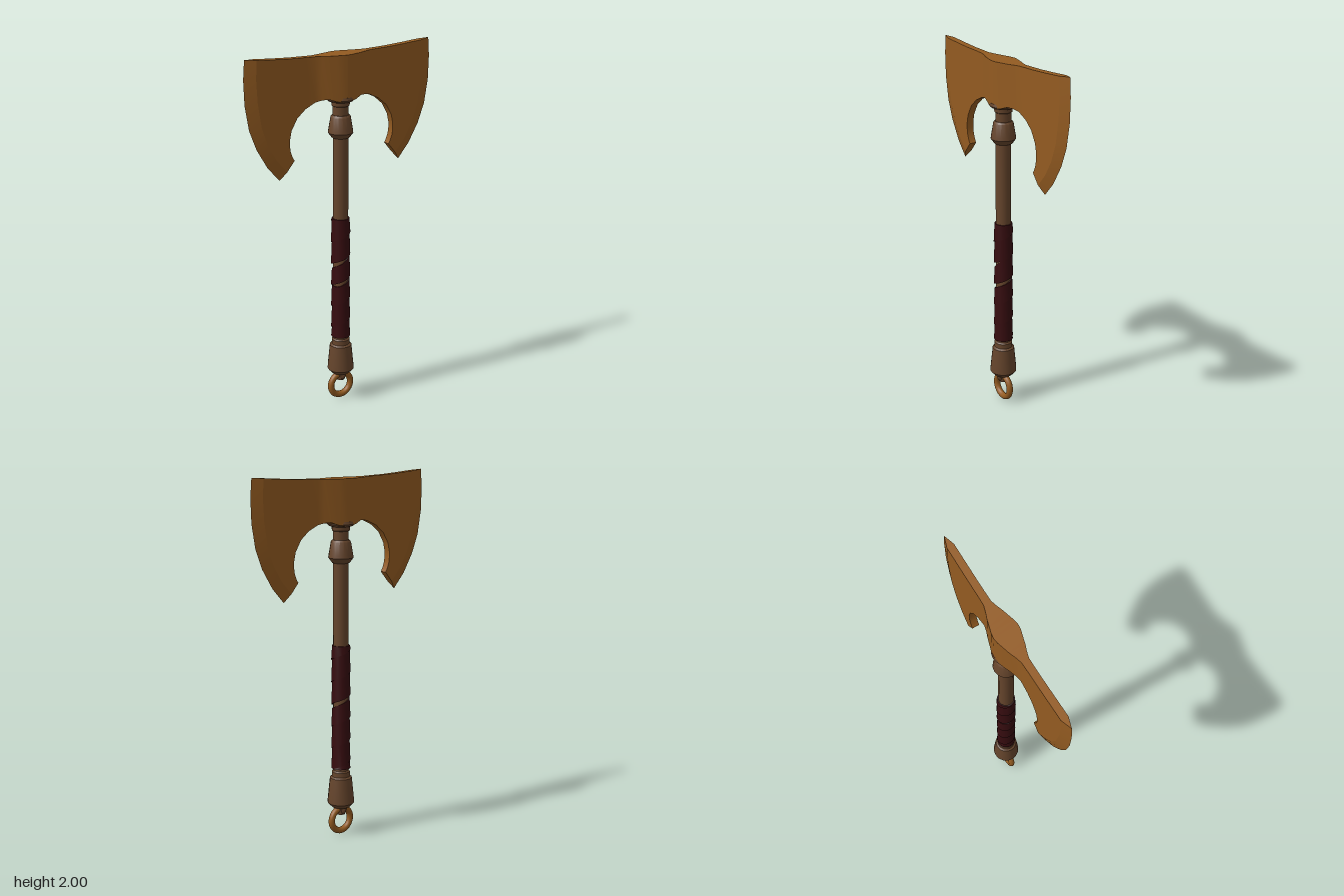
import * as THREE from 'three';
import { toCreasedNormals } from 'three/addons/utils/BufferGeometryUtils.js';

// Skin a list of equal-sized rings of [x, y, z] points and cap both ends.
// Each ring runs counter-clockwise when looked at from the far end.
function loft(rings, crease = 0.5) {
  const n = rings[0].length, index = [];
  for (let i = 0; i < rings.length - 1; i++) {
    for (let j = 0; j < n; j++) {
      const a = i * n + j, b = i * n + (j + 1) % n;
      index.push(a, b, b + n, a, b + n, a + n);
    }
  }
  const end = (rings.length - 1) * n;
  for (let j = 1; j < n - 1; j++) {
    index.push(0, j + 1, j, end, end + j, end + j + 1);
  }
  const g = new THREE.BufferGeometry();
  g.setAttribute('position', new THREE.Float32BufferAttribute(rings.flat(2), 3));
  g.setIndex(index);
  return toCreasedNormals(g, crease);
}

function lathe(points, segments = 16) {
  const profile = points.map(([r, y]) => new THREE.Vector2(r, y));
  return toCreasedNormals(new THREE.LatheGeometry(profile, segments), 0.5);
}

export function createModel() {
  const bronze = new THREE.MeshStandardMaterial({ color: 0x935b21 });
  bronze.name = 'bronze';
  const wood = new THREE.MeshStandardMaterial({ color: 0x66452c });
  wood.name = 'brownWood';
  const leather = new THREE.MeshStandardMaterial({ color: 0x360c0f });
  leather.name = 'darkRedLeather';

  const model = new THREE.Group();
  model.name = 'doubleAxe';
  const add = (parent, name, geometry, material) => {
    const mesh = new THREE.Mesh(geometry, material);
    mesh.name = name;
    parent.add(mesh);
    return mesh;
  };

  // Blade body stations: upper x, y, lower x, y, half thickness
  const body = [
    [0, 1.975, 0, 1.73, 0.068], [0.03, 1.975, 0.03, 1.73, 0.064],
    [0.06, 1.975, 0.06, 1.735, 0.055], [0.1, 1.975, 0.1, 1.75, 0.044],
    [0.135, 1.976, 0.135, 1.748, 0.031], [0.17, 1.977, 0.17, 1.74, 0.021],
    [0.23, 1.979, 0.23, 1.712, 0.02], [0.3, 1.981, 0.28, 1.67, 0.02],
    [0.4, 1.987, 0.315, 1.61, 0.02], [0.51, 1.995, 0.326, 1.56, 0.02],
    [0.516, 1.9, 0.326, 1.53, 0.02], [0.51, 1.78, 0.322, 1.5, 0.02],
    [0.49, 1.65, 0.316, 1.483, 0.02], [0.455, 1.55, 0.31, 1.468, 0.02],
    [0.405, 1.465, 0.304, 1.457, 0.02], [0.345, 1.395, 0.299, 1.45, 0.02],
  ];
  // Sharpened edge, matching the outer stations of the body
  const edge = [
    [0.57, 2], [0.578, 1.9], [0.574, 1.77], [0.552, 1.64],
    [0.512, 1.535], [0.45, 1.43], [0.38, 1.35],
  ];
  const bodyGeometry = loft(body.map(([ux, uy, lx, ly, z]) =>
    [[ux, uy, z], [lx, ly, z], [lx, ly, -z], [ux, uy, -z]]));
  const outer = body.slice(-edge.length);
  const edgeGeometry = loft(edge.map(([x, y], i) => {
    const [bx, by, , , z] = outer[i];
    return [[bx, by, z], [bx, by, -z], [x, y, 0]];
  }));
  for (const side of ['left', 'right']) {
    const blade = new THREE.Group();
    blade.name = side + 'Blade';
    add(blade, side + 'BladeBody', bodyGeometry, bronze);
    add(blade, side + 'BladeEdge', edgeGeometry, bronze);
    if (side === 'right') blade.rotation.y = Math.PI;
    model.add(blade);
  }

  // Handle pieces
  add(model, 'shaft', lathe([[0, 0.34], [0.042, 0.34], [0.042, 1.74], [0, 1.74]]), wood);
  add(model, 'headCollar', lathe([
    [0.04, 1.695], [0.048, 1.7], [0.05, 1.72], [0.066, 1.725], [0.074, 1.735],
    [0.07, 1.75], [0, 1.75],
  ]), wood);
  add(model, 'neckFlare', lathe([
    [0.04, 1.525], [0.048, 1.528], [0.068, 1.555], [0.066, 1.57], [0.054, 1.64],
    [0.046, 1.65], [0.04, 1.65],
  ]), wood);
  add(model, 'pommel', lathe([
    [0, 0.16], [0.05, 0.16], [0.074, 0.185], [0.074, 0.2], [0.061, 0.33],
    [0.05, 0.338], [0.05, 0.365], [0.042, 0.372], [0, 0.372],
  ]), wood);

  // Leather strip wound up the grip, with a gap opening in the middle turns
  const rings = [], perTurn = 24, pitch = 0.125;
  const clampY = (y) => THREE.MathUtils.clamp(y, 0.385, 1.078);
  for (let i = -0.75 * perTurn; i <= 5.75 * perTurn; i++) {
    const t = i / perTurn, a = t * Math.PI * 2;
    const gap = THREE.MathUtils.smoothstep(t, 1.6, 1.9) * (1 - THREE.MathUtils.smoothstep(t, 2.9, 3.2));
    const low = 0.355 + t * pitch, high = low + 0.13 - 0.028 * gap;
    const point = (r, y) => [r * Math.sin(a), clampY(y), r * Math.cos(a)];
    rings.push([point(0.048, high), point(0.053, low), point(0.038, low), point(0.038, high)]);
  }
  add(model, 'gripWrap', loft(rings), leather);

  // Eyelet under the pommel and the hanging ring
  add(model, 'eyeletStem', lathe([[0, 0.115], [0.024, 0.115], [0.028, 0.165], [0, 0.165]], 12), wood);
  const eyelet = add(model, 'eyelet', new THREE.TorusGeometry(0.028, 0.013, 8, 20), wood);
  eyelet.rotation.y = Math.PI / 2;
  eyelet.position.y = 0.152;
  const ring = add(model, 'hangingRing', new THREE.TorusGeometry(0.065, 0.018, 12, 32), bronze);
  ring.position.y = 0.083;

  return model;
}
